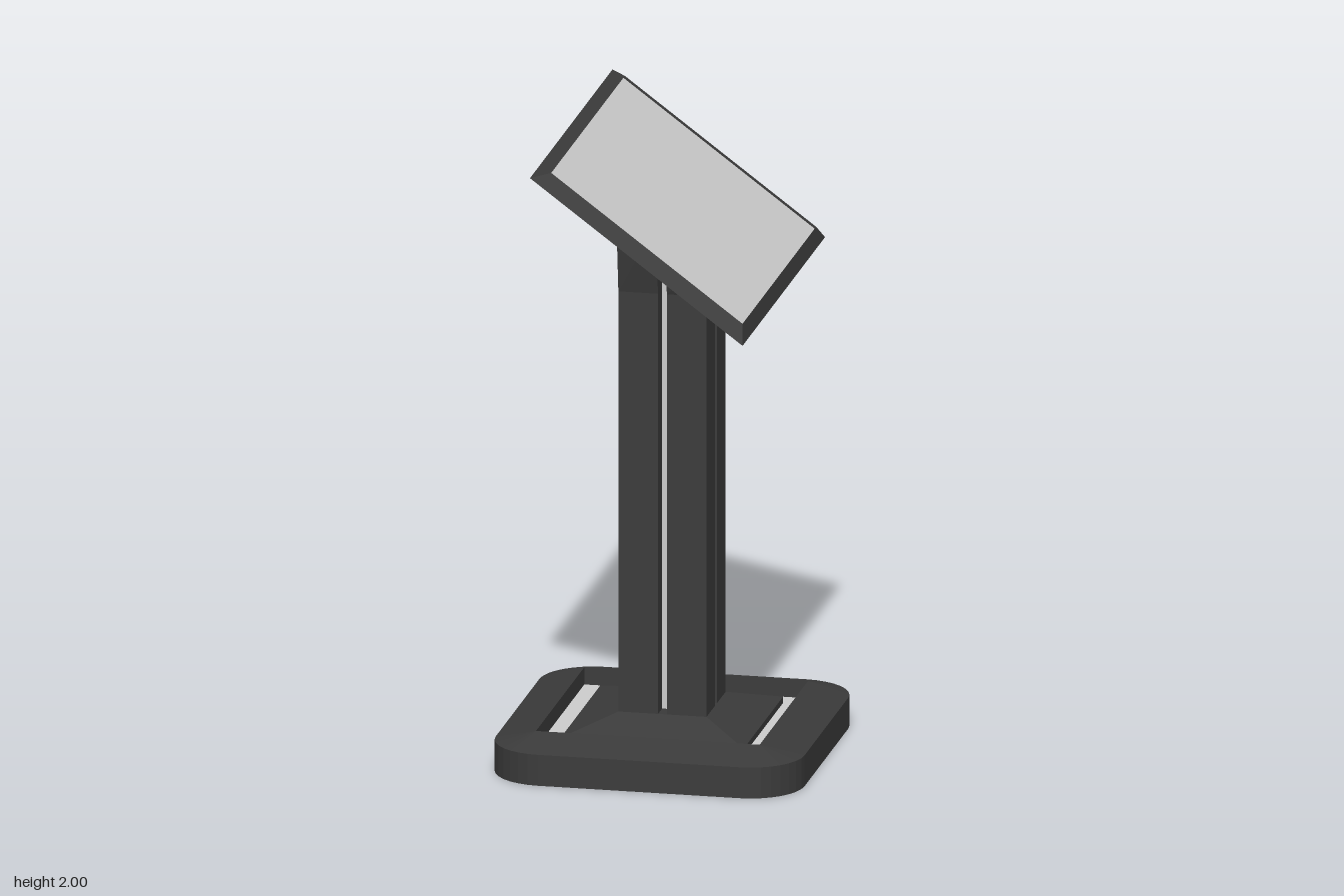
import * as THREE from 'three';

const dark = new THREE.MeshStandardMaterial({ color: 0x3a3a3a, flatShading: true });
const grey = new THREE.MeshStandardMaterial({ color: 0xcccccc, flatShading: true });

// Rectangle ring, counterclockwise seen from above; y may be a function of x
function rect(x0, x1, z0, z1, y) {
  const h = (x) => (typeof y === 'function' ? y(x) : y);
  return [[x1, z1], [x1, z0], [x0, z0], [x0, z1]].map(([x, z]) => new THREE.Vector3(x, h(x), z));
}
const centredRect = (hx, hz, y) => rect(-hx, hx, -hz, hz, y);

// Rounded square ring with the same winding; r = 0 keeps matching point counts
function roundedSquare(half, r, y, steps = 8) {
  const points = [];
  for (let c = 0; c < 4; c++) {
    const mid = Math.PI / 4 + c * Math.PI / 2;
    const cx = Math.sign(Math.cos(mid)) * (half - r);
    const cz = -Math.sign(Math.sin(mid)) * (half - r);
    for (let i = 0; i <= steps; i++) {
      const a = (c + i / steps) * Math.PI / 2;
      points.push(new THREE.Vector3(cx + r * Math.cos(a), y, cz - r * Math.sin(a)));
    }
  }
  return points;
}

// Closed solid through successive rings, capped at both ends
function loft(rings) {
  const tris = [];
  const n = rings[0].length;
  const centre = (ring) => ring.reduce((s, p) => s.add(p), new THREE.Vector3()).divideScalar(n);
  const last = rings[rings.length - 1];
  const low = centre(rings[0]), high = centre(last);
  const add = (a, b, c) => {
    const area = b.clone().sub(a).cross(c.clone().sub(a)).length();
    if (area > 1e-9) tris.push(a, b, c);
  };
  for (let i = 0; i < n; i++) {
    const j = (i + 1) % n;
    for (let k = 0; k < rings.length - 1; k++) {
      const a = rings[k], b = rings[k + 1];
      add(a[i], a[j], b[j]);
      add(a[i], b[j], b[i]);
    }
    add(low, rings[0][j], rings[0][i]);
    add(high, last[i], last[j]);
  }
  const geometry = new THREE.BufferGeometry().setFromPoints(tris);
  geometry.computeVertexNormals();
  return geometry;
}

function part(name, geometry, material, parent) {
  const mesh = new THREE.Mesh(geometry, material);
  mesh.name = name;
  parent.add(mesh);
  return mesh;
}

export function createModel() {
  const model = new THREE.Group();
  model.name = 'kiosk';

  // Rounded base with a sloped rim and a square recess
  part('base', loft([
    roundedSquare(0.49, 0.17, 0),
    roundedSquare(0.49, 0.17, 0.1),
    roundedSquare(0.355, 0, 0.136),
    roundedSquare(0.355, 0, 0.07),
  ]), dark, model);
  part('baseLightChannel', new THREE.BoxGeometry(0.71, 0.02, 0.71), grey, model).position.y = 0.07;
  part('plinth', loft([
    centredRect(0.29, 0.29, 0.07),
    centredRect(0.29, 0.29, 0.1),
    centredRect(0.14, 0.14, 0.15),
  ]), dark, model);

  // Four corner posts, splayed in z where they meet the sloping panel
  const slope = (x) => 1.735 - 0.75 * x;
  const column = new THREE.Group();
  column.name = 'column';
  model.add(column);
  const gap = 0.014, outer = 0.14, splay = 0.04;
  for (const sx of [-1, 1]) {
    for (const sz of [-1, 1]) {
      const xs = [gap * sx, outer * sx].sort((a, b) => a - b);
      const zs = [gap * sz, outer * sz].sort((a, b) => a - b);
      const s = splay * sz;
      part('cornerPost', loft([
        rect(...xs, ...zs, 0.12),
        rect(...xs, ...zs, 1.51),
        rect(...xs, zs[0] + s, zs[1] + s, slope),
      ]), dark, column);
    }
  }

  // Pale core seen through the slots, and the dark filler closing two of them
  part('columnCore', loft([
    centredRect(0.08, 0.08, 0.14),
    centredRect(0.08, 0.08, slope),
  ]), grey, column);
  part('slotFiller', loft([
    centredRect(0.016, 0.148, (x) => 1.63 - 0.75 * x),
    centredRect(0.016, 0.172, slope),
  ]), dark, column);

  // Tilted display: tapered back, thin rim, bevelled frame, recessed screen
  const display = new THREE.Group();
  display.name = 'display';
  display.position.set(0.0175, 1.75, 0);
  display.rotation.z = -0.638;
  model.add(display);
  part('displayFrame', loft([
    centredRect(0.175, 0.18, -0.031),
    centredRect(0.42, 0.605, 0),
    centredRect(0.378, 0.54, 0.033),
    centredRect(0.378, 0.54, 0.02),
  ]), dark, display);
  part('screen', new THREE.BoxGeometry(0.756, 0.008, 1.08), grey, display).position.y = 0.021;

  return model;
}
